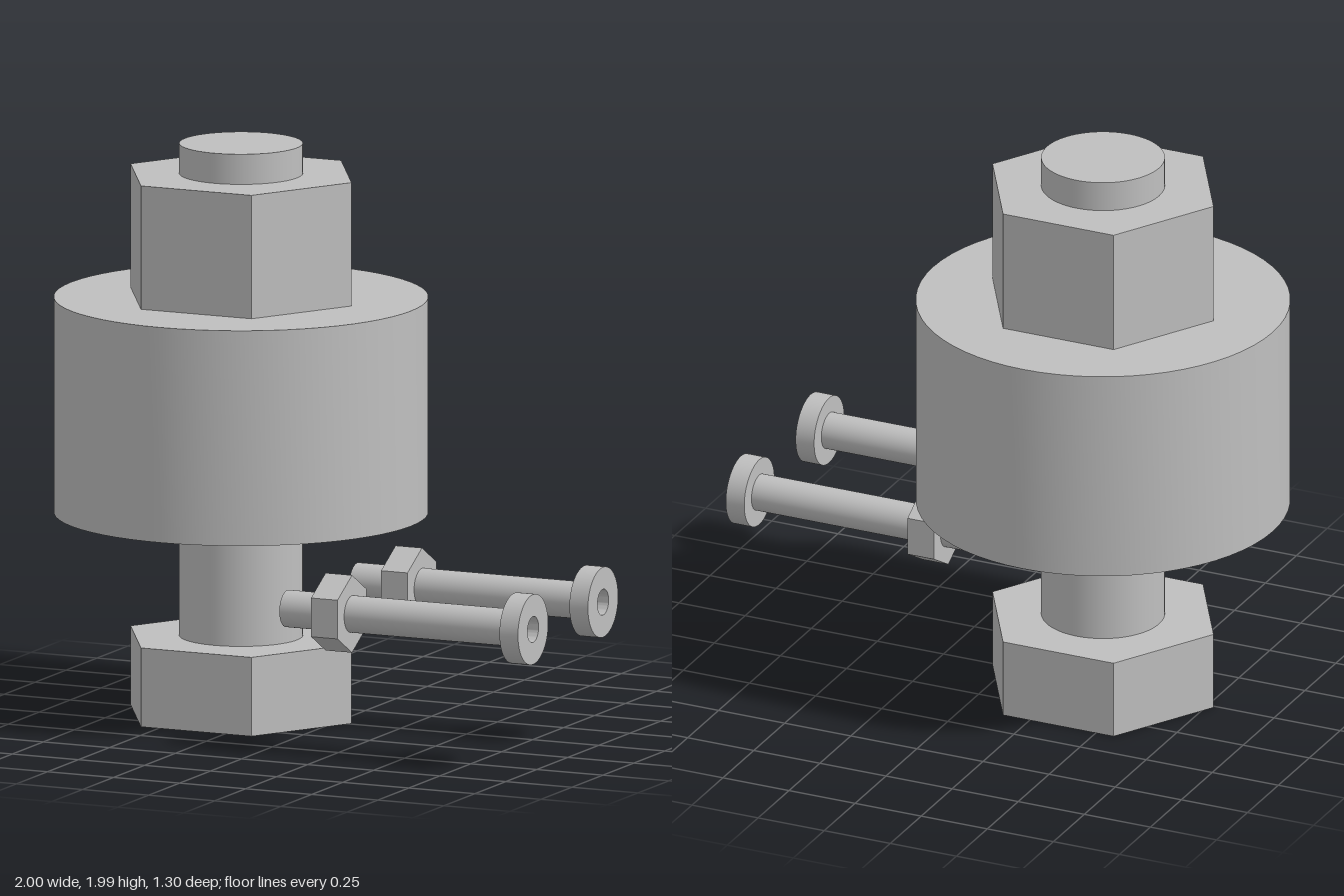
import * as THREE from 'three';
import { toCreasedNormals } from 'three/addons/utils/BufferGeometryUtils.js';

const steel = new THREE.MeshStandardMaterial({ color: 0xbfbfbf });
steel.name = 'steel grey';

function add(parent, name, geometry) {
  const mesh = new THREE.Mesh(geometry, steel);
  mesh.name = name;
  parent.add(mesh);
  return mesh;
}

// Round rod along y between two heights
function rod(radius, y0, y1) {
  return new THREE.CylinderGeometry(radius, radius, y1 - y0, 64).translate(0, (y0 + y1) / 2, 0);
}

// Hexagonal prism along y with corners on the x axis and crisp edges
function hex(radius, y0, y1) {
  const g = new THREE.CylinderGeometry(radius, radius, y1 - y0, 6)
    .rotateY(Math.PI / 2)
    .translate(0, (y0 + y1) / 2, 0);
  return toCreasedNormals(g, 0.5);
}

// Turned part from [radius, height] pairs, with crisp edges
function turned(profile) {
  const points = profile.map(([r, y]) => new THREE.Vector2(r, y));
  return toCreasedNormals(new THREE.LatheGeometry(points, 64), 0.5);
}

// Large upright bolt carrying a thick collar and a nut
function largeBolt() {
  const group = new THREE.Group();
  group.name = 'largeBolt';
  add(group, 'boltHead', hex(0.418, 0, 0.275));
  add(group, 'boltShank', rod(0.212, 0.275, 1.99));
  add(group, 'collar', turned([
    [0.22, 0.705], [0.642, 0.705], [0.642, 1.455], [0.22, 1.455], [0.22, 0.705],
  ]));
  add(group, 'nut', hex(0.418, 1.455, 1.885));
  return group;
}

// Small screw lying along x, with a nut and a socketed round head
function smallScrew(name) {
  const group = new THREE.Group();
  group.name = name;
  add(group, 'screwShank', rod(0.064, 0.07, 0.93));
  add(group, 'screwNut', hex(0.135, 0.215, 0.315));
  add(group, 'screwHead', turned([
    [0, 0.93], [0.122, 0.93], [0.122, 1], [0.045, 1], [0.045, 0.94], [0, 0.94],
  ]));
  group.rotation.z = -Math.PI / 2;
  return group;
}

export function createModel() {
  const model = new THREE.Group();
  model.name = 'boltAssembly';

  const bolt = largeBolt();
  bolt.position.set(-0.358, 0, -0.01);
  model.add(bolt);

  // Two matching screws side by side
  [['frontScrew', 0.53], ['backScrew', -0.035]].forEach(([name, z]) => {
    const screw = smallScrew(name);
    screw.position.set(0, 0.493, z);
    model.add(screw);
  });

  return model;
}
